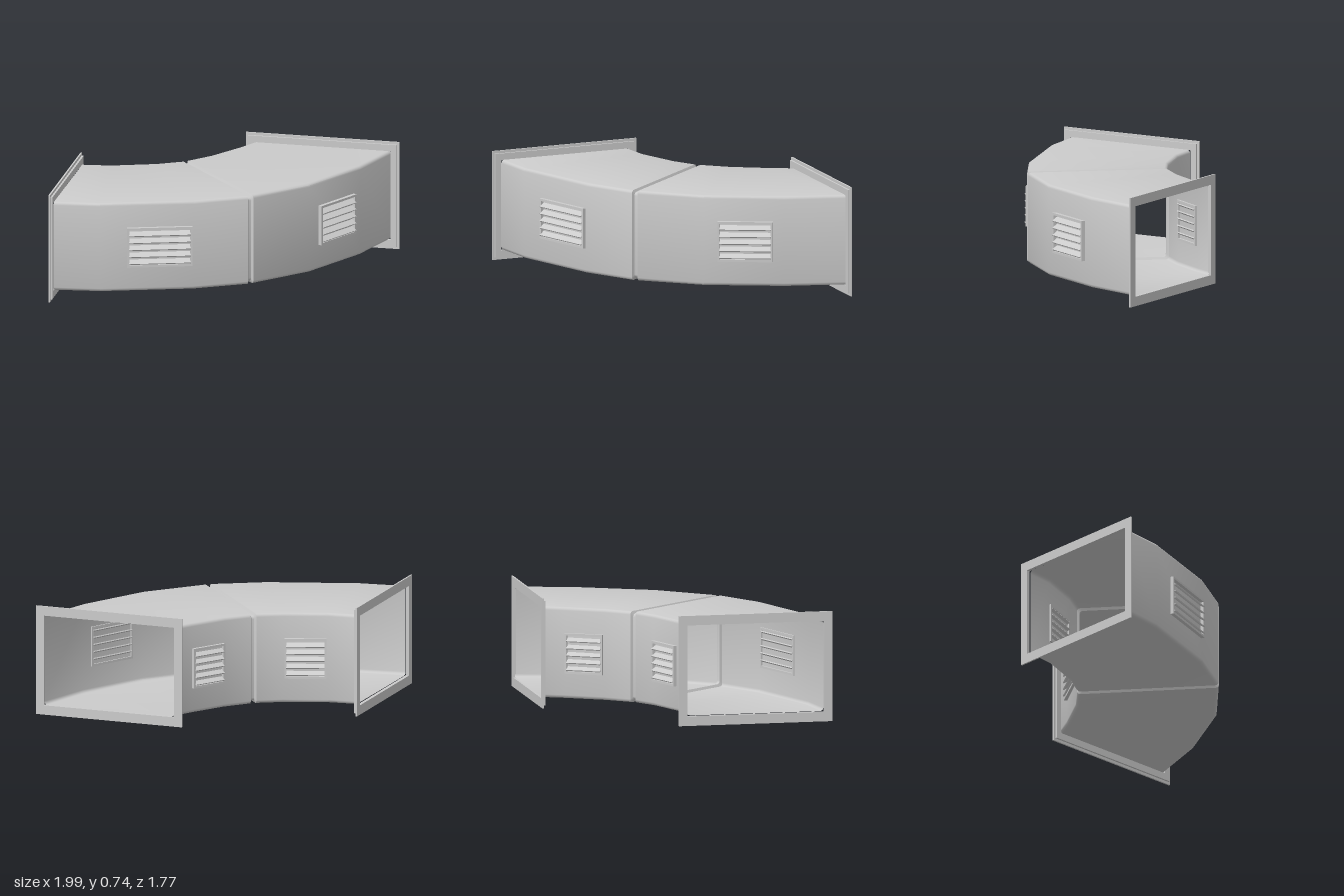
import * as THREE from 'three';
import { toCreasedNormals } from 'three/addons/utils/BufferGeometryUtils.js';

const material = new THREE.MeshStandardMaterial({ color: 0xcccccc, side: THREE.DoubleSide });
const BOTTOM = 0.067, TOP = 0.675, MID = (BOTTOM + TOP) / 2;

// Stations along the bend: inner x, z, outer x, z, inset (the inset pair forms the seam groove)
const stations = [
  [-0.968, -0.10, -0.945, 0.825, 0],
  [-0.78, -0.125, -0.64, 0.785, 0],
  [-0.50, -0.23, -0.05, 0.58, 0],
  [-0.348, -0.322, 0.272, 0.388, 0],
  [-0.341, -0.329, 0.279, 0.381, 0.016],
  [-0.327, -0.343, 0.293, 0.367, 0.016],
  [-0.32, -0.35, 0.30, 0.36, 0],
  [-0.195, -0.50, 0.60, 0.01, 0],
  [-0.055, -0.74, 0.83, -0.47, 0],
  [0.01, -0.875, 0.94, -0.875, 0],
];

// Rounded rectangular cross-section standing on the line from inner to outer point
function ring([ix, iz, ox, oz, inset]) {
  const length = Math.hypot(ox - ix, oz - iz), r = 0.022, steps = 3, points = [];
  const corners = [[1, 1], [-1, 1], [-1, -1], [1, -1]];
  corners.forEach(([su, sy], k) => {
    for (let j = 0; j <= steps; j++) {
      const a = (k + j / steps) * Math.PI / 2;
      const u = su * (length / 2 - inset - r) + r * Math.cos(a);
      const y = MID + sy * ((TOP - BOTTOM) / 2 - inset - r) + r * Math.sin(a);
      const t = 0.5 + u / length;
      points.push([ix + (ox - ix) * t, y, iz + (oz - iz) * t]);
    }
  });
  return points;
}

function ductGeometry() {
  const rings = stations.map(ring), n = rings[0].length, index = [];
  for (let s = 0; s < rings.length - 1; s++) {
    for (let i = 0; i < n; i++) {
      const a = s * n + i, b = s * n + (i + 1) % n;
      index.push(a, b, a + n, b, b + n, a + n);
    }
  }
  const geometry = new THREE.BufferGeometry();
  geometry.setAttribute('position', new THREE.Float32BufferAttribute(rings.flat(2), 3));
  geometry.setIndex(index);
  return toCreasedNormals(geometry, 0.55);
}

function rect(path, w, h) {
  path.moveTo(-w / 2, -h / 2);
  path.lineTo(w / 2, -h / 2);
  path.lineTo(w / 2, h / 2);
  path.lineTo(-w / 2, h / 2);
  path.closePath();
  return path;
}

// Rectangular frame from z0 to z1
function frame(name, w, h, holeW, holeH, z0, z1) {
  const shape = rect(new THREE.Shape(), w, h);
  shape.holes.push(rect(new THREE.Path(), holeW, holeH));
  const geometry = new THREE.ExtrudeGeometry(shape, { depth: z1 - z0, bevelEnabled: false });
  const mesh = new THREE.Mesh(geometry.translate(0, 0, z0), material);
  mesh.name = name;
  return mesh;
}

// Group centred between two plan points, its local +z facing outwards
function facing(name, [ax, az], [bx, bz], y) {
  const group = new THREE.Group();
  group.name = name;
  group.position.set((ax + bx) / 2, y, (az + bz) / 2);
  group.rotation.y = Math.atan2(az - bz, bx - ax);
  return group;
}

function flange(name, a, b) {
  const group = facing(name, a, b, 0.3685);
  const width = Math.hypot(b[0] - a[0], b[1] - a[1]);
  group.add(
    frame('outerPlate', width, 0.735, 0.928, 0.608, -0.011, 0),
    frame('innerPlate', width - 0.03, 0.70, 0.928, 0.608, -0.024, -0.011),
  );
  return group;
}

// Louvred vent passing through the wall, visible on both sides
function vent(name, a, b) {
  const group = facing(name, a, b, 0.37);
  const width = Math.hypot(b[0] - a[0], b[1] - a[1]), height = 0.27;
  group.add(frame('ventFrame', width, height, width - 0.03, height - 0.03, -0.015, 0.02));
  const count = 5, pitch = (height - 0.03) / count;
  for (let i = 0; i < count; i++) {
    const slat = new THREE.Mesh(new THREE.BoxGeometry(width - 0.025, 0.008, 0.055), material);
    slat.name = 'slat';
    slat.position.set(0, (i - (count - 1) / 2) * pitch, 0.004);
    slat.rotation.x = 0.6;
    group.add(slat);
  }
  return group;
}

export function createModel() {
  const model = new THREE.Group();
  model.name = 'ductBend';

  const duct = new THREE.Mesh(ductGeometry(), material);
  duct.name = 'duct';
  model.add(duct);

  // Connecting flanges at the two open ends
  model.add(flange('rightFlange', [-0.998, -0.158], [-0.968, 0.882]));
  model.add(flange('backFlange', [0.995, -0.887], [-0.047, -0.887]));

  // Vents on the outer and inner walls
  model.add(vent('frontVent', [-0.47, 0.731], [-0.06, 0.588]));
  model.add(vent('leftVent', [0.645, -0.07], [0.803, -0.40]));
  model.add(vent('innerRightVent', [-0.51, -0.23], [-0.772, -0.132]));
  model.add(vent('innerBackVent', [-0.06, -0.735], [-0.19, -0.508]));
  return model;
}
